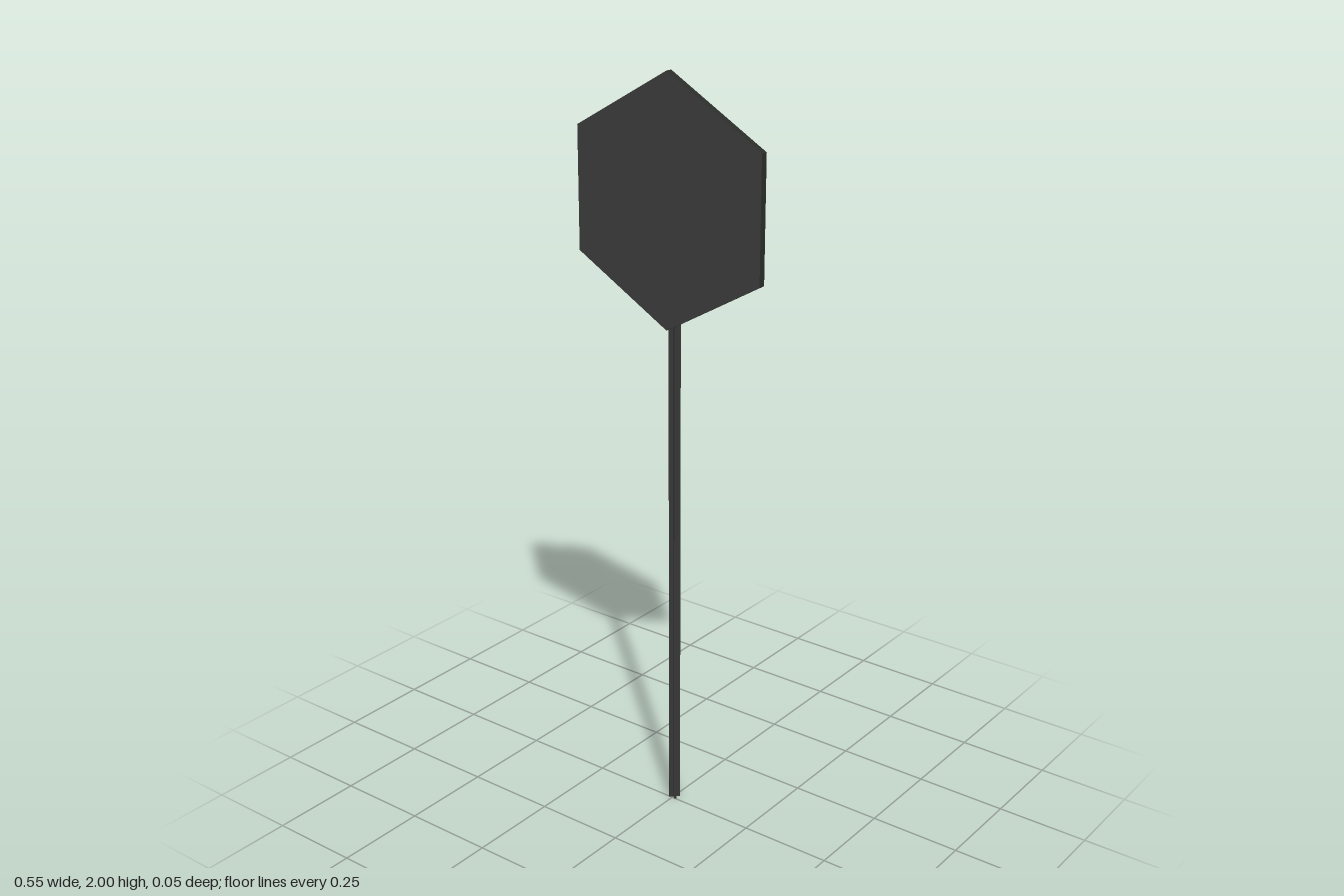
import * as THREE from 'three';

const HEX_RADIUS = 0.32, HEX_Y = 1.68, HEX_BACK = 0.004, HEX_DEPTH = 0.019;
const POST_HEIGHT = 1.88, POST_Z = -0.0105, ARM = 0.015, HALF_WEB = 0.003;

const material = (color) => new THREE.MeshStandardMaterial({ color, flatShading: true });

// Hexagonal plate with points at top and bottom
function createSignPlate() {
  const corners = [];
  for (let i = 0; i < 6; i++) {
    const a = Math.PI / 2 + (i * Math.PI) / 3;
    corners.push(new THREE.Vector2(Math.cos(a) * HEX_RADIUS, Math.sin(a) * HEX_RADIUS));
  }
  const geometry = new THREE.ExtrudeGeometry(new THREE.Shape(corners), {
    depth: HEX_DEPTH, bevelEnabled: false,
  });
  const plate = new THREE.Mesh(geometry, [material(0x3c3c3c), material(0x2b2d2b)]);
  plate.name = 'signPlate';
  plate.position.set(0, HEX_Y, HEX_BACK);
  return plate;
}

// Post with a cross-shaped section, its webs turned diagonally
function createPost() {
  const corners = [];
  const centre = new THREE.Vector2();
  for (let i = 0; i < 4; i++) {
    const quarter = [[ARM, -HALF_WEB], [ARM, HALF_WEB], [HALF_WEB, HALF_WEB]];
    for (const [x, y] of quarter) {
      corners.push(new THREE.Vector2(x, y).rotateAround(centre, Math.PI / 4 + (i * Math.PI) / 2));
    }
  }
  const geometry = new THREE.ExtrudeGeometry(new THREE.Shape(corners), {
    depth: POST_HEIGHT, bevelEnabled: false,
  });
  geometry.rotateX(-Math.PI / 2);
  const post = new THREE.Mesh(geometry, material(0x363636));
  post.name = 'post';
  post.position.z = POST_Z;
  return post;
}

export function createModel() {
  const model = new THREE.Group();
  model.name = 'signPost';
  model.add(createPost(), createSignPlate());
  return model;
}
